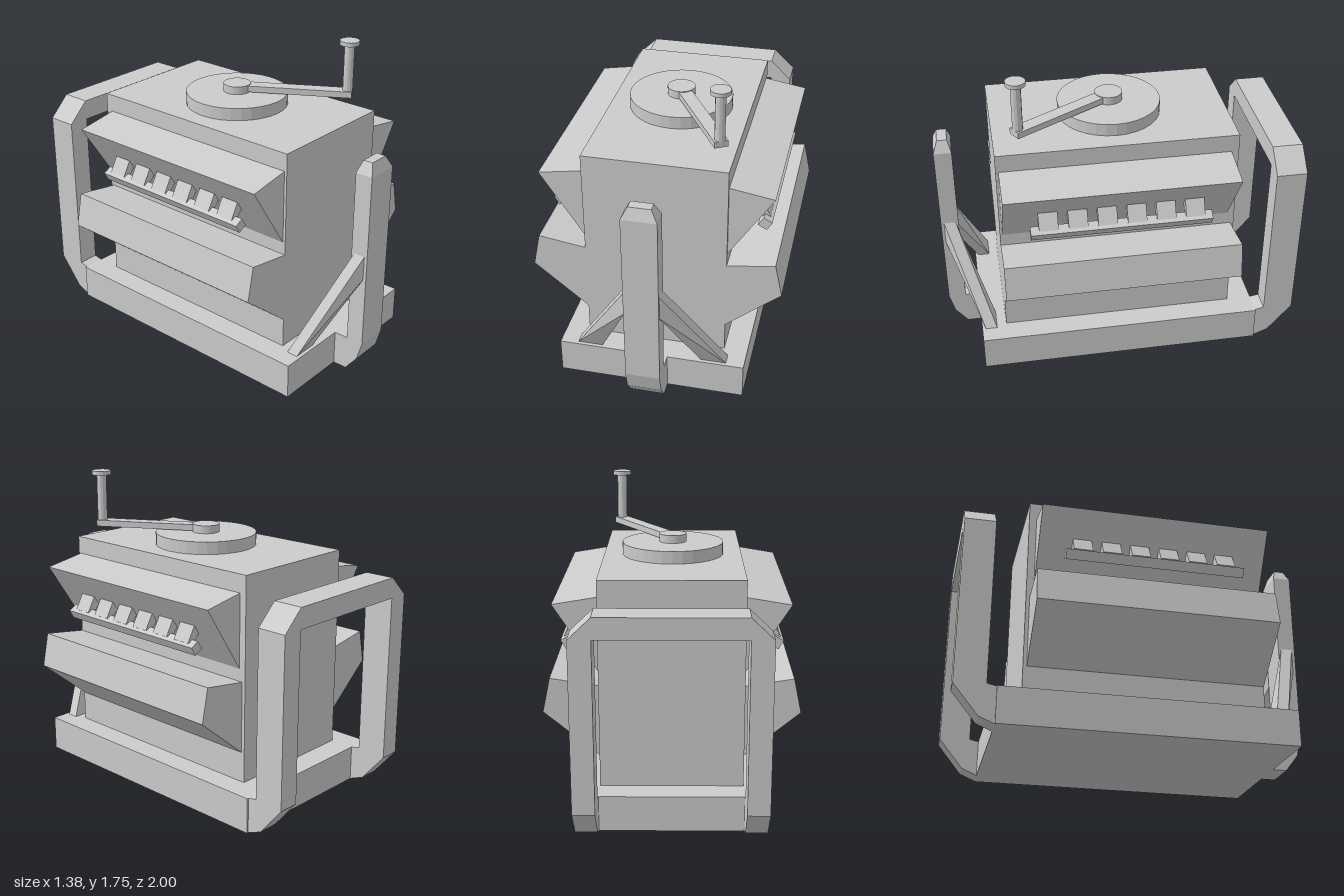
import * as THREE from 'three';
import { ConvexGeometry } from 'three/addons/geometries/ConvexGeometry.js';

export function createModel() {
  const model = new THREE.Group();
  const material = new THREE.MeshStandardMaterial({ color: 0xcccccc, flatShading: true });

  const add = (name, geometry, x = 0, y = 0, z = 0) => {
    const mesh = new THREE.Mesh(geometry, material);
    mesh.name = name;
    mesh.position.set(x, y, z);
    model.add(mesh);
    return mesh;
  };
  // Box given by its limits on each axis
  const box = (name, x0, x1, y0, y1, z0, z1) =>
    add(name, new THREE.BoxGeometry(x1 - x0, y1 - y0, z1 - z0),
      (x0 + x1) / 2, (y0 + y1) / 2, (z0 + z1) / 2);
  const extrude = (points, depth) => new THREE.ExtrudeGeometry(
    new THREE.Shape(points.map(([a, b]) => new THREE.Vector2(a, b))),
    { depth, bevelEnabled: false });
  // Profile in (x, y), swept from z0 to z1
  const alongZ = (name, points, z0, z1, side = 1) =>
    add(name, extrude(points.map(([x, y]) => [x * side, y]), z1 - z0), 0, 0, z0);
  // Profile in (z, y), swept from x0 to x1
  const alongX = (name, points, x0, x1) =>
    add(name, extrude(points, x1 - x0).rotateY(-Math.PI / 2), x1);
  const hull = (name, points) =>
    add(name, new ConvexGeometry(points.map((p) => new THREE.Vector3(...p))));
  const cylinder = (name, r, y0, y1, x, z, sides = 32) =>
    add(name, new THREE.CylinderGeometry(r, r, y1 - y0, sides), x, (y0 + y1) / 2, z);

  // Base and main body
  box('base', -0.52, 0.52, 0, 0.2, -0.78, 0.82);
  box('body', -0.39, 0.39, 0.2, 1.35, -0.64, 0.68);

  // Front post with curved foot and tapered tip
  alongX('frontPost', [[0.82, 0], [0.9, 0], [0.97, 0.09], [1, 0.2], [1, 1.21],
    [0.9, 1.21], [0.9, 0.2], [0.82, 0.2]], -0.095, 0.095);
  const tip = [];
  for (const s of [-1, 1]) {
    tip.push([s * 0.095, 1.21, 0.9], [s * 0.095, 1.21, 1],
      [s * 0.06, 1.275, 0.92], [s * 0.06, 1.275, 0.975]);
  }
  hull('frontPostTip', tip);

  // Rear frame top bar with cut corners
  alongZ('rearFrameBar', [[-0.51, 1.14], [0.51, 1.14], [0.39, 1.255], [-0.39, 1.255]], -1, -0.83);

  for (const side of [1, -1]) {
    const prefix = side > 0 ? 'left' : 'right';

    // Rear frame post, swept back from the base
    const inner = side * 0.39, outer = side * 0.51;
    alongX(prefix + 'RearPost', [[-0.78, 0], [-0.865, 0.035], [-1, 0.2], [-1, 1.14],
      [-0.83, 1.14], [-0.83, 0.21], [-0.78, 0.2]],
    Math.min(inner, outer), Math.max(inner, outer));

    // Diagonal brace from base to front post
    hull(prefix + 'Brace', [
      [0.28, 0.2, 0.735], [0.42, 0.2, 0.735], [0.42, 0.2, 0.8], [0.28, 0.2, 0.8],
      [0.09, 0.61, 0.92], [0.09, 0.75, 0.92], [0.09, 0.75, 0.985], [0.09, 0.61, 0.985],
    ].map(([x, y, z]) => [x * side, y, z]));

    // Side hoods
    alongZ(prefix + 'UpperHood', [[0.38, 0.825], [0.63, 1.21], [0.39, 1.25], [0.38, 1.25]],
      -0.6, 0.665, side);
    alongZ(prefix + 'LowerHood', [[0.38, 0.362], [0.69, 0.62], [0.65, 0.81], [0.39, 0.77], [0.38, 0.77]],
      -0.62, 0.68, side);

    // Rail held by a row of tabs
    alongZ(prefix + 'Rail', [[0.603, 0.972], [0.556, 0.998], [0.526, 0.952], [0.575, 0.924]],
      -0.46, 0.525, side);
    for (let i = 0; i < 6; i++) {
      const z = 0.428 - i * 0.159;
      alongZ(prefix + 'Tab' + (i + 1), [[0.49, 1.04], [0.555, 0.965], [0.588, 0.985], [0.54, 1.07]],
        z - 0.052, z + 0.052, side);
    }
  }

  // Turntable and crank
  const cz = 0.015, hx = 0.315, hz = 0.545;
  cylinder('turntable', 0.287, 1.35, 1.42, 0, cz);
  cylinder('crankHub', 0.077, 1.42, 1.465, 0, cz);
  const arm = add('crankArm',
    new THREE.BoxGeometry(0.075, 0.035, Math.hypot(hx, hz - cz) + 0.05), hx / 2, 1.443, (hz + cz) / 2);
  arm.rotation.y = Math.atan2(hx, hz - cz);
  cylinder('crankHandle', 0.028, 1.45, 1.725, hx, hz, 12);
  cylinder('crankKnob', 0.054, 1.722, 1.745, hx, hz, 24);

  return model;
}
